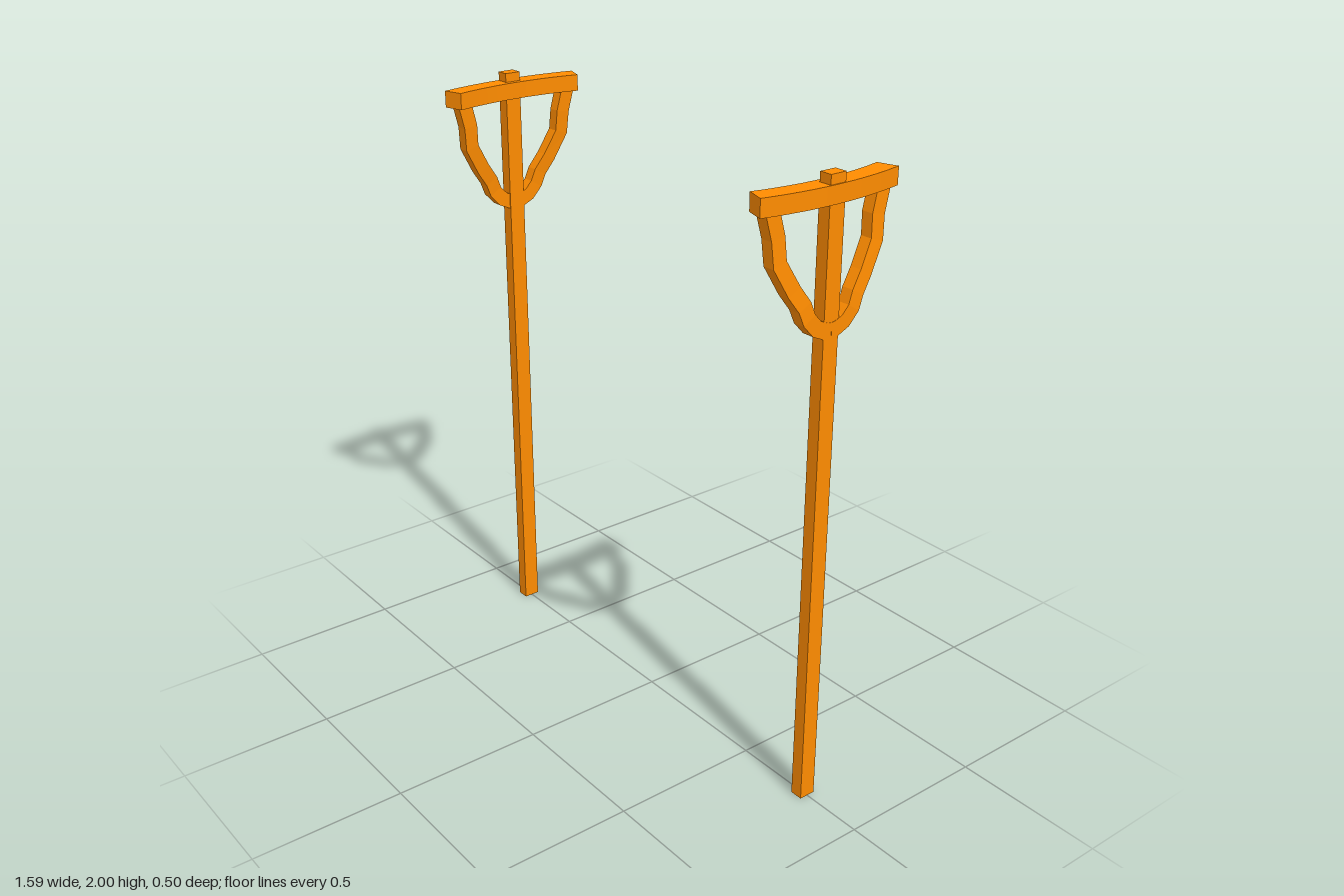
import * as THREE from 'three';

const material = new THREE.MeshStandardMaterial({ color: 0xff8c00, flatShading: true });

function part(name, geometry) {
  const mesh = new THREE.Mesh(geometry, material);
  mesh.name = name;
  return mesh;
}

// Square-section beam through centre points [x, y, z]; ring sides lie in the YZ plane and along x.
function braceGeometry(points, halfX, halfW) {
  const pos = [], index = [], last = points.length - 1;
  points.forEach(([x, y, z], i) => {
    const a = points[Math.max(i - 1, 0)], b = points[Math.min(i + 1, last)];
    const dy = b[1] - a[1], dz = b[2] - a[2], len = Math.hypot(dy, dz);
    const ny = dz / len * halfW, nz = -dy / len * halfW;
    for (const [sx, sn] of [[-1, -1], [1, -1], [1, 1], [-1, 1]]) {
      pos.push(x + sx * halfX, y + sn * ny, z + sn * nz);
    }
  });
  for (let i = 0; i < last; i++) {
    for (let k = 0; k < 4; k++) {
      const a = i * 4 + k, b = i * 4 + (k + 1) % 4;
      index.push(a, b, b + 4, a, b + 4, a + 4);
    }
  }
  const e = last * 4;
  index.push(0, 2, 1, 0, 3, 2, e, e + 1, e + 2, e, e + 2, e + 3);
  const geometry = new THREE.BufferGeometry();
  geometry.setAttribute('position', new THREE.Float32BufferAttribute(pos, 3));
  geometry.setIndex(index);
  const flat = geometry.toNonIndexed();
  flat.computeVertexNormals();
  return flat;
}

// Crossbar bowed outwards, with slanted ends.
function crossbarGeometry() {
  const geometry = new THREE.BoxGeometry(0.064, 0.054, 0.48, 1, 1, 12);
  const p = geometry.attributes.position;
  for (let i = 0; i < p.count; i++) {
    const t = p.getZ(i) / 0.24, side = Math.sign(p.getX(i));
    p.setX(i, p.getX(i) - 0.028 * t * t);
    p.setZ(i, (0.24 + side * 0.01) * t);
  }
  geometry.computeVertexNormals();
  return geometry;
}

function createPole(name) {
  const pole = new THREE.Group();
  pole.name = name;

  const post = part('post', new THREE.BoxGeometry(0.042, 2, 0.055));
  post.position.set(0.77, 1, 0);
  const crossbar = part('crossbar', crossbarGeometry());
  crossbar.position.set(0.763, 1.944, 0);
  pole.add(post, crossbar);

  // Crooked braces from the post up to the crossbar ends
  const path = [
    [0.772, 1.56, 0], [0.772, 1.563, 0.021], [0.772, 1.577, 0.053], [0.772, 1.608, 0.082],
    [0.769, 1.648, 0.098], [0.762, 1.696, 0.132], [0.752, 1.778, 0.178],
    [0.747, 1.85, 0.183], [0.744, 1.93, 0.204],
  ];
  for (const s of [1, -1]) {
    const points = path.map(([x, y, z]) => [x, y, s * z]);
    pole.add(part(s > 0 ? 'frontBrace' : 'backBrace', braceGeometry(points, 0.02, 0.024)));
  }
  return pole;
}

export function createModel() {
  const model = new THREE.Group();
  model.name = 'polePair';
  const right = createPole('rightPole');
  right.rotation.y = Math.PI;
  model.add(createPole('leftPole'), right);
  return model;
}
